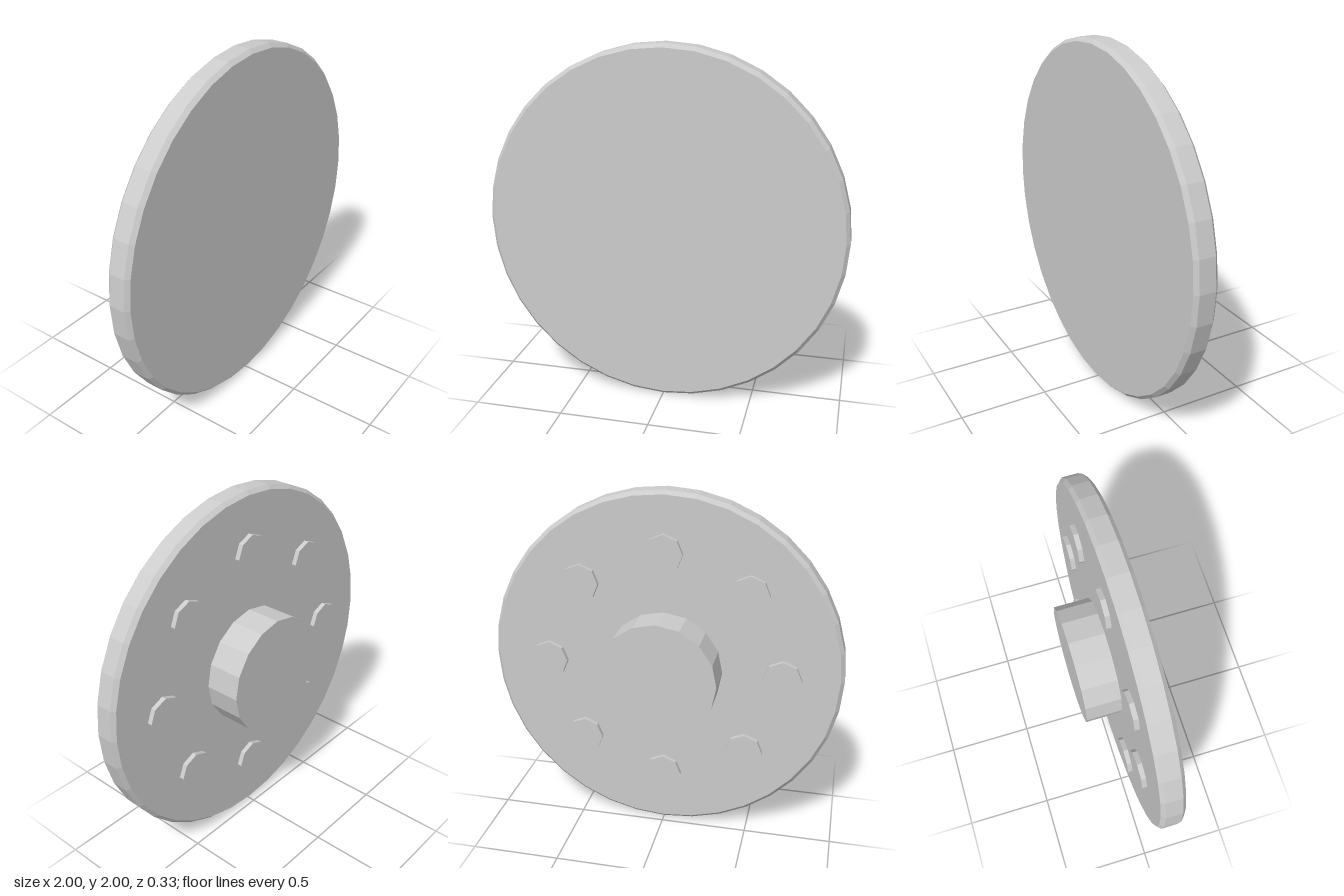
import * as THREE from 'three';

const material = new THREE.MeshStandardMaterial({ color: 0xcccccc, flatShading: true });

const PLATE_BACK = 0.033, PLATE_FRONT = 0.167;

// Adds a mesh whose geometry axis (y) is turned to point to the front (z).
function addPart(parent, name, geometry, x, y, z) {
  const mesh = new THREE.Mesh(geometry.rotateX(Math.PI / 2), material);
  mesh.name = name;
  mesh.position.set(x, y, z);
  parent.add(mesh);
}

// Round peg standing out of the back of the plate.
function addPeg(parent, name, radius, height, sides, x, y) {
  addPart(parent, name, new THREE.CylinderGeometry(radius, radius, height, sides), x, y, PLATE_BACK - height / 2);
}

export function createModel() {
  const group = new THREE.Group();
  group.name = 'flangedDisc';

  // Main plate with chamfered rims
  const bevel = 0.021;
  const profile = [
    [0, PLATE_BACK], [1 - bevel, PLATE_BACK], [1, PLATE_BACK + bevel],
    [1, PLATE_FRONT - bevel], [1 - bevel, PLATE_FRONT], [0, PLATE_FRONT],
  ].map(([r, h]) => new THREE.Vector2(r, h));
  addPart(group, 'plate', new THREE.LatheGeometry(profile, 36), 0, 1, 0);

  // Central hub on the back
  addPeg(group, 'hub', 0.333, 0.2, 16, 0, 1);

  // Ring of eight bolt heads around the hub
  const bolts = new THREE.Group();
  bolts.name = 'bolts';
  for (let i = 0; i < 8; i++) {
    const a = (i * Math.PI) / 4;
    addPeg(bolts, 'bolt', 0.107, 0.027, 8, 0.667 * Math.cos(a), 1 + 0.667 * Math.sin(a));
  }
  group.add(bolts);

  return group;
}
